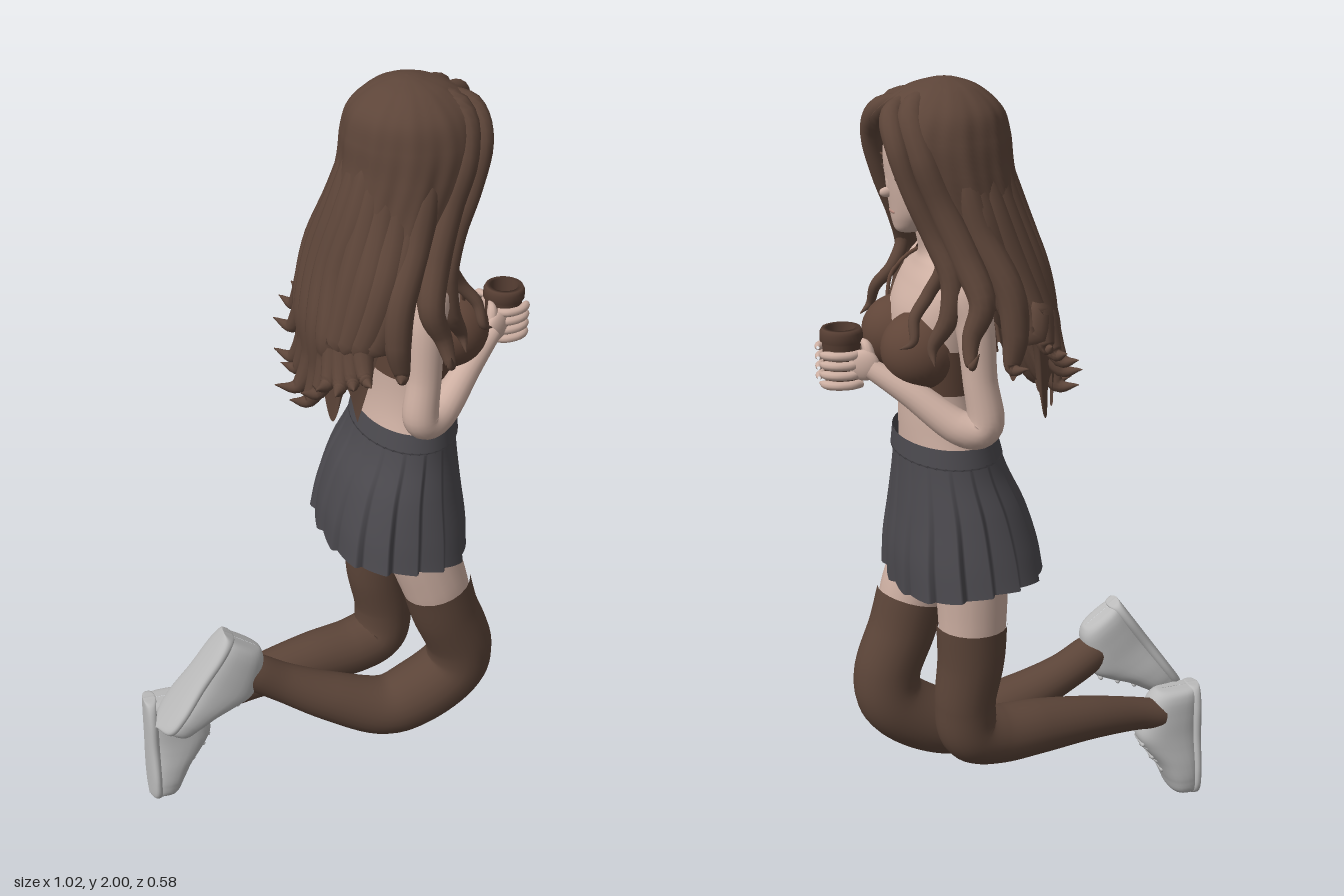
import * as THREE from 'three';
import { ParametricGeometry } from 'three/addons/geometries/ParametricGeometry.js';

const mat = (name, color, side = THREE.FrontSide) => {
  const m = new THREE.MeshStandardMaterial({ color, side });
  m.name = name;
  return m;
};
const V = (x, y, z) => new THREE.Vector3(x, y, z);
const curve = (pts) => new THREE.CatmullRomCurve3(pts, false, 'catmullrom', 0.5);
const TAU = Math.PI * 2;

// Horizontal ellipses stacked upward; rows are [y, centreX, radiusX, radiusZ, frontOpening].
// ripple(angle, v) scales the radius, drop(angle, v) shifts the height.
function loft(rows, nu, nv, ripple = () => 1, drop = () => 0) {
  const c = curve(rows.map((r) => V(r[1], r[0], r[4] || 0)));
  const s = curve(rows.map((r) => V(r[2], r[3], 0)));
  return new ParametricGeometry((u, v, out) => {
    const p = c.getPoint(v), q = s.getPoint(v);
    const a = p.z + u * (TAU - 2 * p.z), k = ripple(a, v);
    out.set(p.x + q.x * k * Math.cos(a), p.y + drop(a, v), -q.y * k * Math.sin(a));
  }, nu, nv);
}

// Tapered round limb; rows are [x, y, z, radius].
function limb(rows, nu = 16, nv = 32, ref = V(0, 0, 1)) {
  const c = curve(rows.map((r) => V(r[0], r[1], r[2])));
  const s = curve(rows.map((r) => V(r[3], 0, 0)));
  return new ParametricGeometry((u, v, out) => {
    const t = c.getTangent(v), a = ref.clone().cross(t).normalize(), b = t.clone().cross(a);
    const r = Math.max(s.getPoint(v).x, 0.001), w = u * TAU;
    out.copy(c.getPoint(v)).addScaledVector(a, r * Math.cos(w)).addScaledVector(b, r * Math.sin(w));
  }, nu, nv);
}

export function createModel() {
  const group = new THREE.Group();
  const skin = mat('skin', 0xcdafa2), hair = mat('hair brown', 0x5d4539, THREE.DoubleSide);
  const sock = mat('stocking brown', 0x5b4438), cloth = mat('top brown', 0x604538, THREE.DoubleSide);
  const grey = mat('skirt grey', 0x4b494e, THREE.DoubleSide), shoeMat = mat('shoe grey', 0xbababa);
  const cupMat = mat('cup brown', 0x553d32, THREE.DoubleSide), dark = mat('eye dark', 0x4a362e);
  const lip = mat('lip', 0xb88c80), white = mat('eye white', 0xd0c4bc);
  const add = (name, geo, m, parent = group) => {
    const mesh = new THREE.Mesh(geo, m);
    mesh.name = name;
    parent.add(mesh);
    return mesh;
  };
  const blob = (name, m, pos, scale) => {
    const b = add(name, new THREE.SphereGeometry(1, 20, 14), m);
    b.position.set(...pos);
    b.scale.set(...scale);
    return b;
  };

  // Torso, neck and head
  add('torso', loft([[0.84, 0.17, 0.1, 0.14], [0.95, 0.17, 0.13, 0.18], [1.08, 0.185, 0.112, 0.17],
    [1.18, 0.197, 0.102, 0.148], [1.27, 0.2, 0.1, 0.143], [1.37, 0.205, 0.11, 0.16], [1.46, 0.205, 0.105, 0.175],
    [1.53, 0.2, 0.078, 0.17], [1.57, 0.2, 0.055, 0.105], [1.6, 0.2, 0.046, 0.054], [1.66, 0.21, 0.046, 0.048],
    [1.74, 0.215, 0.045, 0.05]], 36, 60), skin);
  add('head', loft([[1.643, 0.272, 0.001, 0.001], [1.65, 0.268, 0.032, 0.026], [1.675, 0.25, 0.06, 0.055],
    [1.71, 0.225, 0.09, 0.083], [1.77, 0.205, 0.117, 0.1], [1.85, 0.195, 0.13, 0.108],
    [1.92, 0.19, 0.105, 0.095], [1.965, 0.185, 0.001, 0.001]], 36, 36), skin);
  blob('nose', skin, [0.322, 1.742, 0], [0.018, 0.012, 0.01]);
  blob('noseBridge', skin, [0.312, 1.765, 0], [0.011, 0.03, 0.014]);
  blob('mouth', lip, [0.311, 1.697, 0], [0.004, 0.005, 0.02]);
  for (const s of [1, -1]) {
    blob('eyeWhite', white, [0.308, 1.782, 0.046 * s], [0.005, 0.01, 0.022]);
    blob('iris', dark, [0.311, 1.782, 0.045 * s], [0.005, 0.009, 0.009]);
    blob('lash', dark, [0.311, 1.793, 0.047 * s], [0.005, 0.004, 0.026]);
    blob('eyebrow', hair, [0.313, 1.82, 0.049 * s], [0.005, 0.003, 0.026]);
  }

  // Cropped top: cups, band and straps
  add('topBand', loft([[1.275, 0.2, 0.104, 0.148], [1.32, 0.203, 0.109, 0.156], [1.39, 0.206, 0.116, 0.169]], 36, 6), cloth);
  for (const s of [1, -1]) {
    blob('bust', skin, [0.27, 1.385, 0.076 * s], [0.092, 0.088, 0.084]);
    const cup = add('topCup', new THREE.SphereGeometry(1, 28, 18, 0, TAU, 0.68, Math.PI - 0.68), cloth);
    cup.position.set(0.272, 1.38, 0.081 * s);
    cup.scale.set(0.097, 0.094, 0.09);
    cup.rotation.set(-0.35 * s, 0, 0.35);
    add('strap', limb([[0.3, 1.45, 0.1 * s, 0.005], [0.275, 1.52, 0.125 * s, 0.005], [0.2, 1.572, 0.118 * s, 0.005],
      [0.12, 1.5, 0.11 * s, 0.005], [0.09, 1.36, 0.1 * s, 0.005]], 8, 20), cloth);
  }

  // Arms and hands around the cup
  for (const s of [1, -1]) {
    add('arm', limb([[0.2, 1.57, 0.125, 0.015], [0.195, 1.535, 0.16, 0.046], [0.175, 1.46, 0.184, 0.046], [0.168, 1.33, 0.2, 0.041],
      [0.16, 1.22, 0.209, 0.045], [0.215, 1.212, 0.186, 0.042], [0.31, 1.287, 0.118, 0.034], [0.39, 1.34, 0.064, 0.024]]
      .map(([x, y, z, r]) => [x, y, z * s, r]), 18, 56), skin);
    const palm = blob('palm', skin, [0.405, 1.348, 0.055 * s], [0.038, 0.038, 0.018]);
    palm.rotation.y = 0.5 * s;
    for (let i = 0; i < 4; i++) {
      const rows = [2.2, 1.7, 1.1, 0.55, 0.1 + 0.05 * i].map((a, j) => [0.443 + 0.056 * Math.cos(a),
        1.305 + 0.024 * i + 0.004 * s, 0.054 * Math.sin(a) * s, j === 4 ? 0.004 : 0.0105]);
      add('finger', limb(rows, 10, 14, V(0, 1, 0)), skin);
    }
    add('thumb', limb([[0.39, 1.36, 0.06 * s, 0.014], [0.395, 1.392, 0.045 * s, 0.012],
      [0.4, 1.4, 0.018 * s, 0.005]], 10, 12, V(1, 0, 0)), skin);
  }
  const cupProfile = [[0.034, 1.29], [0.04, 1.29], [0.046, 1.395], [0.051, 1.4], [0.051, 1.42], [0.046, 1.43],
    [0.034, 1.43], [0.032, 1.29]].map((p) => new THREE.Vector2(...p));
  add('cup', new THREE.LatheGeometry(cupProfile, 32), cupMat).position.x = 0.443;

  // Pleated skirt with waistband, slightly squared so it clears the thighs
  const pleat = (a, v) => {
    const f = ((a / TAU) * 16) % 1;
    return 1 + (1 - v) * (0.07 * (f < 0.88 ? f / 0.88 : (1 - f) / 0.12) - 0.045 + 0.06 * Math.sin(2 * a) ** 2);
  };
  const hem = (a, v) => (1 - v) * (-0.018 * Math.cos(a) - 0.012 * Math.cos(2 * a));
  add('skirt', loft([[0.785, 0.152, 0.182, 0.262], [0.87, 0.157, 0.176, 0.248], [0.97, 0.165, 0.156, 0.224],
    [1.06, 0.18, 0.132, 0.196], [1.14, 0.19, 0.117, 0.178]], 192, 20, pleat, hem), grey);
  add('waistband', loft([[1.1, 0.187, 0.13, 0.192], [1.15, 0.191, 0.121, 0.181]], 40, 3), grey);

  // Bent legs: skin thigh, then long stocking
  add('rightThigh', limb([[0.17, 0.95, 0.1, 0.08], [0.185, 0.83, 0.115, 0.09], [0.236, 0.68, 0.125, 0.088],
    [0.262, 0.59, 0.125, 0.08]]), skin);
  add('leftThigh', limb([[0.17, 0.95, -0.09, 0.08], [0.162, 0.83, -0.1, 0.092], [0.16, 0.68, -0.105, 0.086],
    [0.165, 0.59, -0.105, 0.08]]), skin);
  add('rightStocking', limb([[0.246, 0.658, 0.125, 0.091], [0.272, 0.57, 0.125, 0.089], [0.318, 0.45, 0.12, 0.087],
    [0.304, 0.362, 0.115, 0.088], [0.21, 0.292, 0.112, 0.088], [0.11, 0.265, 0.108, 0.08], [-0.03, 0.315, 0.09, 0.066],
    [-0.15, 0.375, 0.072, 0.053], [-0.23, 0.425, 0.065, 0.05], [-0.28, 0.455, 0.065, 0.04]], 22, 64), sock);
  add('leftStocking', limb([[0.161, 0.66, -0.105, 0.089], [0.164, 0.56, -0.104, 0.085], [0.18, 0.44, -0.102, 0.078],
    [0.165, 0.355, -0.098, 0.079], [0.09, 0.325, -0.088, 0.077], [-0.03, 0.318, -0.076, 0.072], [-0.18, 0.305, -0.06, 0.058],
    [-0.32, 0.28, -0.04, 0.045], [-0.4, 0.262, -0.035, 0.04]], 22, 64), sock);

  // Trainers: rounded sections from heel to toe, rows [along, halfWidth, height]
  const power = (t) => Math.sign(t) * Math.pow(Math.abs(t), 0.78);
  function shoe(name, heel, along, up) {
    const g = new THREE.Group();
    g.name = name;
    group.add(g);
    const build = (rows) => {
      const c = curve(rows.map((r) => V(...r)));
      return new ParametricGeometry((u, v, out) => {
        const r = c.getPoint(v), a = u * TAU;
        out.copy(heel).addScaledVector(along, r.x).addScaledVector(up, r.z * 0.5 * (1 + power(Math.sin(a))));
        out.z -= r.y * power(Math.cos(a));
      }, 32, 40);
    };
    add('upper', build([[0.004, 0.0005, 0.11], [0.008, 0.034, 0.125], [0.03, 0.048, 0.145], [0.08, 0.053, 0.165], [0.13, 0.056, 0.177],
      [0.17, 0.06, 0.158], [0.22, 0.066, 0.122], [0.27, 0.067, 0.097], [0.31, 0.055, 0.078], [0.33, 0.0005, 0.045]]), shoeMat, g);
    add('sole', build([[0, 0.0005, 0.03], [0.008, 0.036, 0.034], [0.06, 0.053, 0.034], [0.15, 0.057, 0.034],
      [0.25, 0.07, 0.034], [0.31, 0.058, 0.034], [0.336, 0.0005, 0.03]]), shoeMat, g);
    for (let i = 0; i < 5; i++) {
      const lace = add('lace', new THREE.CapsuleGeometry(0.006, 0.045, 4, 8), shoeMat, g);
      lace.position.copy(heel).addScaledVector(along, 0.15 + i * 0.022).addScaledVector(up, 0.167 - i * 0.0148);
      lace.rotation.x = Math.PI / 2 + (i % 2 ? 0.2 : -0.2);
    }
  }
  shoe('leftShoe', V(-0.515, 0.335, -0.022), V(0, -1, 0), V(1, 0, 0));
  shoe('rightShoe', V(-0.31, 0.58, 0.067), V(-0.574, -0.819, 0), V(0.819, -0.574, 0));

  // Hair: one rippled mass open at the face
  const wave = (a, v) => 1 + 0.022 * Math.sin(a * 11 + v * 5) * (1 - v * 0.75) + 0.012 * Math.sin(a * 23 - v * 8) * (1 - v);
  add('hairMass', loft([[1.25, 0.02, 0.09, 0.17, 1.65], [1.4, 0.045, 0.115, 0.205, 1.6], [1.5, 0.08, 0.13, 0.218, 1.6],
    [1.6, 0.118, 0.145, 0.2, 1.4], [1.7, 0.157, 0.157, 0.18, 1.05], [1.8, 0.185, 0.163, 0.172, 0.75],
    [1.87, 0.195, 0.167, 0.162, 0.45], [1.93, 0.19, 0.145, 0.14, 0.15], [1.975, 0.185, 0.09, 0.09, 0],
    [1.995, 0.18, 0.035, 0.035, 0], [2, 0.18, 0.0005, 0.0005, 0]], 110, 50, wave,
  (a, v) => 0.05 * Math.max(0, 1 - v * 6) * Math.sin(a * 9)), hair);

  // Broad back locks that emerge from the mass and flick out at the tips
  let seed = 7;
  const rnd = () => (seed = (seed * 16807) % 2147483647) / 2147483647;
  for (let i = 0; i < 13; i++) {
    const a = Math.PI + (i / 12 - 0.5) * 3.1, c = Math.cos(a), z = -Math.sin(a), sway = (rnd() - 0.5) * 0.06;
    const end = 1.2 + rnd() * 0.05 + 0.14 * z * z, flick = 0.04 + rnd() * 0.035;
    const at = (cx, rx, rz, y, r, k = 0) => [cx + rx * c, y, rz * z + sway * k, r];
    add('backLock', limb([at(0.18, 0.105, 0.11, 1.86, 0.03), at(0.15, 0.122, 0.14, 1.7, 0.042, 0.3), at(0.1, 0.115, 0.18, 1.56, 0.043, -0.5),
      at(0.05, 0.092, 0.19, 1.43, 0.042, 0.6), at(0.025, 0.07, 0.172, end + 0.1, 0.034, 1),
      at(0.015, 0.07 + flick * 0.4, 0.195 + flick * 0.4, end + 0.015, 0.02, 0.4), at(0.01, 0.08 + flick, 0.215 + flick, end + 0.02, 0.001, -0.5)],
      12, 32), hair);
  }

  // Locks parted at the brow, framing the face and curling over each shoulder
  for (const s of [1, -1]) {
    const lock = (rows) => add('frontLock', limb(rows.map(([x, y, z, r]) => [x, y, z * s, r]), 12, 36), hair);
    lock([[0.27, 1.955, 0.006, 0.014], [0.32, 1.925, 0.048, 0.028], [0.325, 1.86, 0.1, 0.028], [0.298, 1.76, 0.122, 0.025],
      [0.255, 1.66, 0.138, 0.027], [0.225, 1.57, 0.17, 0.028], [0.235, 1.48, 0.18, 0.024], [0.27, 1.41, 0.165, 0.015],
      [0.275, 1.37, 0.19, 0.001]]);
    lock([[0.21, 1.965, 0.008, 0.02], [0.28, 1.93, 0.07, 0.034], [0.275, 1.84, 0.125, 0.034], [0.235, 1.73, 0.144, 0.034],
      [0.195, 1.62, 0.178, 0.036], [0.17, 1.52, 0.225, 0.032], [0.2, 1.44, 0.232, 0.022], [0.21, 1.385, 0.262, 0.012],
      [0.2, 1.42, 0.288, 0.001]]);
    lock([[0.2, 1.9, 0.1, 0.02], [0.18, 1.78, 0.14, 0.034], [0.15, 1.66, 0.165, 0.038], [0.1, 1.54, 0.212, 0.036],
      [0.09, 1.44, 0.228, 0.032], [0.1, 1.36, 0.235, 0.018], [0.08, 1.37, 0.285, 0.001]]);
    lock([[0.27, 1.7, 0.13, 0.006], [0.24, 1.6, 0.15, 0.016], [0.27, 1.53, 0.14, 0.016], [0.31, 1.48, 0.155, 0.014],
      [0.32, 1.43, 0.175, 0.01], [0.35, 1.41, 0.16, 0.001]]);
  }
  return group;
}
